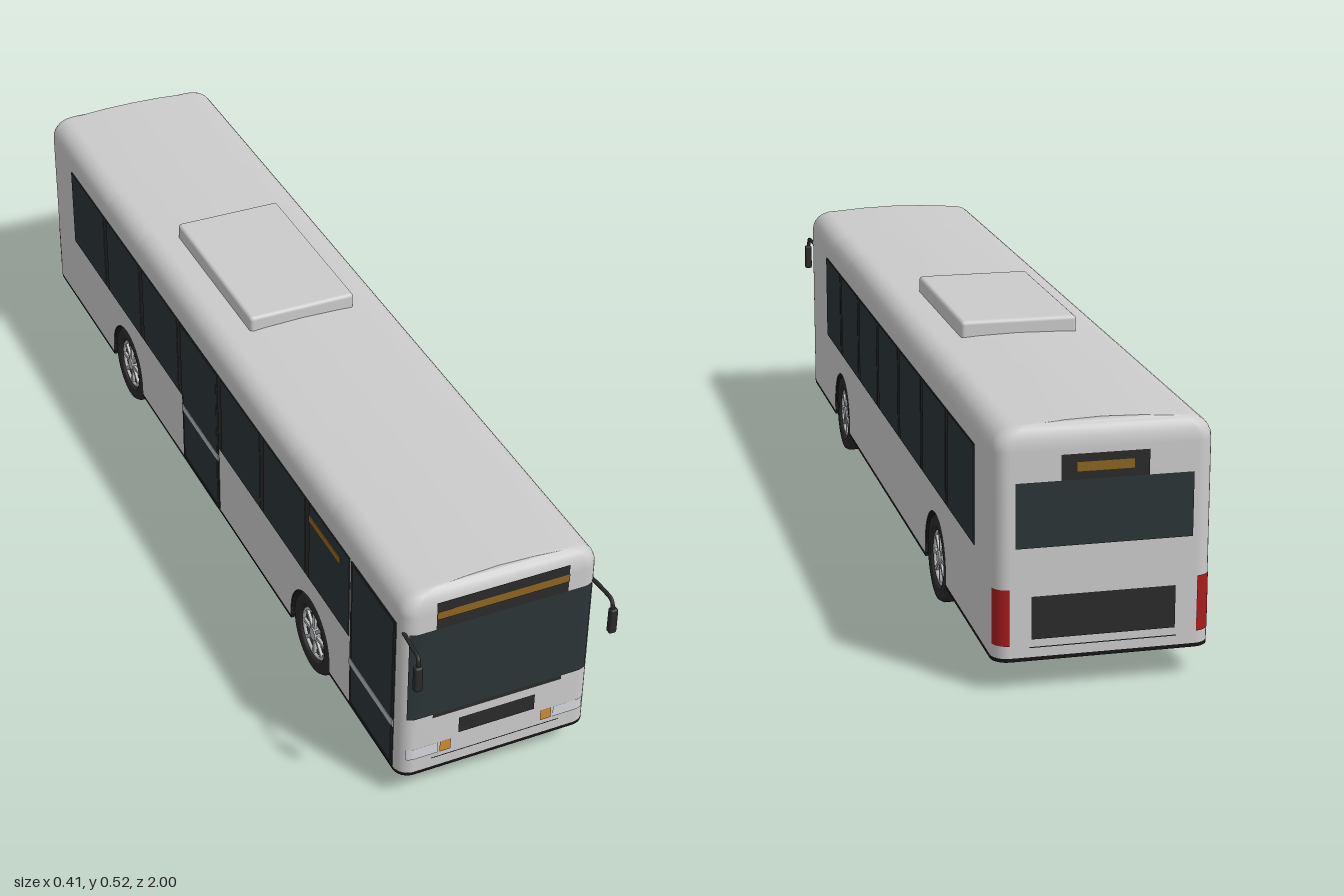
import * as THREE from 'three';
import { RoundedBoxGeometry } from 'three/addons/geometries/RoundedBoxGeometry.js';

const mat = (color) => new THREE.MeshStandardMaterial({ color, side: THREE.DoubleSide });
const GREY = new THREE.MeshStandardMaterial({ color: 0xcccccc });
const METAL = mat(0xb4b6b8), BLACK = mat(0x161616), TRIM = mat(0x2a2a2a), GLASS = mat(0x2b3437);
const AMBER = mat(0xd08c30), SIGN = mat(0x8c6520), RED = mat(0xa81c1c), LAMP = mat(0xd4d7db);

const HALF = 0.2, FRONT = 0.935, BACK = -1, CORNER = 0.03, BOTTOM = 0.066;
const ARCH_R = 0.093, WHEEL_R = 0.087, AXLES = [0.522, -0.512];

function add(parent, name, geometry, material, x = 0, y = 0, z = 0) {
  const mesh = new THREE.Mesh(geometry, material);
  mesh.name = name;
  mesh.position.set(x, y, z);
  parent.add(mesh);
  return mesh;
}

// Lower edge of a body side from front to back, rising over the wheel arches
function sideEdge() {
  const pts = [];
  for (const zc of AXLES) {
    pts.push([zc + ARCH_R, BOTTOM]);
    for (let i = 0; i <= 20; i++) {
      const a = (i / 20) * Math.PI;
      pts.push([zc + ARCH_R * Math.cos(a), WHEEL_R + ARCH_R * Math.sin(a)]);
    }
    pts.push([zc - ARCH_R, BOTTOM]);
  }
  return pts;
}

// Plan outline with rounded corners; each point is [x, z, lower edge y]
function outline(hw, endInset) {
  const pts = [], edge = sideEdge(), rx = hw * 0.15, rz = CORNER - endInset;
  const corner = (sx, sz, from, to) => {
    const zc = sz > 0 ? FRONT - CORNER : BACK + CORNER;
    for (let i = 0; i <= 6; i++) {
      const a = (from + ((to - from) * i) / 6) * (Math.PI / 2);
      pts.push([sx * (hw - rx + rx * Math.cos(a)), zc + sz * rz * Math.sin(a), BOTTOM]);
    }
  };
  corner(1, 1, 1, 0);
  edge.forEach(([z, y]) => pts.push([hw, z, y]));
  corner(1, -1, 0, 1);
  corner(-1, -1, 1, 0);
  edge.slice().reverse().forEach(([z, y]) => pts.push([-hw, z, y]));
  corner(-1, 1, 0, 1);
  return pts;
}

// Body shell lofted upward from the skirt to the crowned roof
function shellGeometry() {
  const levels = [[HALF, 0, null], [HALF, 0, 0.2], [HALF, 0, 0.445]];
  for (let i = 1; i <= 6; i++) {
    const a = (i / 6) * (Math.PI / 2), k = 1 - Math.cos(a);
    levels.push([HALF - 0.045 * k, 0.02 * k, 0.445 + 0.043 * Math.sin(a)]);
  }
  levels.push([0.08, 0.021, 0.493], [0, 0.022, 0.495]);
  const pos = [], index = [];
  const n = outline(HALF, 0).length;
  levels.forEach(([hw, inset, y], r) => {
    outline(hw, inset).forEach((p, i) => {
      pos.push(p[0], y ?? p[2], p[1]);
      if (r === 0) return;
      const j = (i + 1) % n, a = (r - 1) * n + i, b = (r - 1) * n + j, c = r * n + i, d = r * n + j;
      index.push(a, b, c, b, d, c);
    });
  });
  const g = new THREE.BufferGeometry();
  g.setAttribute('position', new THREE.Float32BufferAttribute(pos, 3));
  g.setIndex(index);
  g.computeVertexNormals();
  return g;
}

// Thin panel that follows the rounded front (dir 1) or rear (dir -1)
function endPanel(parent, name, dir, x0, x1, y0, y1, material, lift = 0.002) {
  const g = new THREE.PlaneGeometry(x1 - x0, y1 - y0, 28, 1);
  g.translate((x0 + x1) / 2, (y0 + y1) / 2, 0);
  const p = g.attributes.position, end = dir > 0 ? FRONT : -BACK;
  for (let i = 0; i < p.count; i++) {
    const d = Math.min(CORNER, Math.max(0, Math.abs(p.getX(i)) - (HALF - CORNER)));
    p.setZ(i, end - CORNER + Math.sqrt(CORNER * CORNER - d * d) + lift);
  }
  if (dir < 0) g.rotateY(Math.PI);
  g.computeVertexNormals();
  add(parent, name, g, material);
}

// Flat panel on a body side
function sidePanel(parent, name, s, z0, z1, y0, y1, material, lift = 0.001) {
  add(parent, name, new THREE.BoxGeometry(0.004, y1 - y0, z1 - z0), material,
    s * (HALF - 0.002 + lift), (y0 + y1) / 2, (z0 + z1) / 2);
}

// Tyre, rim and spokes; the outer face is at x = 0 facing +x
function makeWheel() {
  const wheel = new THREE.Group();
  wheel.name = 'wheel';
  const profile = [[0, -0.09], [0.08, -0.09], [0.087, -0.082], [0.087, -0.05], [0.084, -0.048], [0.084, -0.044],
    [0.087, -0.042], [0.087, -0.008], [0.082, 0], [0.062, 0], [0.058, -0.006], [0.056, -0.022], [0, -0.022]];
  add(wheel, 'tyre', new THREE.LatheGeometry(profile.map(([r, y]) => new THREE.Vector2(r, y)), 36).rotateZ(-Math.PI / 2), TRIM);
  addRim(wheel, 0.055, -0.008);
  return wheel;
}

function addRim(parent, r, x) {
  add(parent, 'rim', new THREE.TorusGeometry(r - 0.003, 0.004, 8, 32).rotateY(Math.PI / 2), METAL, x);
  add(parent, 'hub', new THREE.CylinderGeometry(r * 0.25, r * 0.3, 0.012, 16).rotateZ(-Math.PI / 2), METAL, x);
  for (let i = 0; i < 8; i++) {
    const spoke = new THREE.BoxGeometry(0.006, r * 0.8, r * 0.14).translate(0, r * 0.55, 0);
    add(parent, 'spoke', spoke, METAL, x).rotation.x = (i * Math.PI) / 4;
  }
}

export function createModel() {
  const bus = new THREE.Group();
  bus.name = 'cityBus';
  add(bus, 'bodyShell', shellGeometry(), GREY);
  add(bus, 'roofUnit', new RoundedBoxGeometry(0.234, 0.04, 0.41, 3, 0.008), GREY, 0, 0.503, -0.173);

  // Floor plate notched for the wheel wells
  const plan = outline(HALF, 0).map(([x, z, y]) => new THREE.Vector2(y > BOTTOM ? Math.sign(x) * 0.1 : x, z));
  const floor = new THREE.ExtrudeGeometry(new THREE.Shape(plan), { depth: 0.007, bevelEnabled: false });
  add(bus, 'floor', floor.rotateX(Math.PI / 2), BLACK, 0, BOTTOM, 0);

  // Front end
  endPanel(bus, 'destinationPanel', 1, -0.135, 0.135, 0.19, 0.468, TRIM, 0.001);
  endPanel(bus, 'destinationSign', 1, -0.135, 0.135, 0.43, 0.448, SIGN, 0.003);
  endPanel(bus, 'windshield', 1, -0.187, 0.187, 0.2, 0.407, GLASS);
  endPanel(bus, 'frontGrille', 1, -0.08, 0.08, 0.135, 0.172, TRIM);
  endPanel(bus, 'bumperSeam', 1, -0.135, 0.135, 0.089, 0.091, TRIM);

  // Rear end
  endPanel(bus, 'rearSignPanel', -1, -0.08, 0.08, 0.39, 0.437, TRIM);
  endPanel(bus, 'rearSign', -1, -0.052, 0.052, 0.405, 0.422, SIGN, 0.003);
  endPanel(bus, 'rearWindow', -1, -0.162, 0.162, 0.27, 0.39, GLASS);
  endPanel(bus, 'engineGrille', -1, -0.132, 0.132, 0.1, 0.18, TRIM);
  endPanel(bus, 'rearSeam', -1, -0.135, 0.135, 0.084, 0.086, TRIM);

  for (const s of [1, -1]) {
    // Lamps
    const pair = (name, dir, a, b, y0, y1, m) => endPanel(bus, name, dir, s > 0 ? a : -b, s > 0 ? b : -a, y0, y1, m);
    pair('headlight', 1, 0.122, 0.187, 0.1, 0.125, LAMP);
    pair('turnSignal', 1, 0.095, 0.118, 0.1, 0.125, AMBER);
    pair('tailLight', -1, 0.172, 0.199, 0.09, 0.195, RED);

    // Side window band with panes between dark pillars
    sidePanel(bus, 'windowBand', s, -0.85, 0.705, 0.23, 0.42, TRIM);
    const pillars = [0.715, 0.51, 0.285, 0.06, -0.168, -0.397, -0.625, -0.86];
    for (let i = 0; i < 7; i++) {
      sidePanel(bus, 'sideWindow', s, pillars[i + 1] + 0.01, pillars[i] - 0.01, 0.232, 0.418, GLASS, 0.002);
    }

    // Mirror on a forward arm
    const path = new THREE.CatmullRomCurve3([[0.193, 0.406, 0.92], [0.196, 0.406, 0.96], [0.197, 0.403, 0.988], [0.198, 0.38, 0.993]]
      .map(([x, y, z]) => new THREE.Vector3(s * x, y, z)));
    add(bus, 'mirrorArm', new THREE.TubeGeometry(path, 16, 0.004, 8), TRIM);
    add(bus, 'mirror', new RoundedBoxGeometry(0.016, 0.056, 0.014, 2, 0.004), TRIM, s * 0.199, 0.359, 0.993);

    // Wheels and their wells
    for (const z of AXLES) {
      const wheel = makeWheel();
      wheel.position.set(s * 0.197, WHEEL_R, z);
      if (s < 0) wheel.rotation.y = Math.PI;
      bus.add(wheel);
      const liner = new THREE.CylinderGeometry(ARCH_R, ARCH_R, 0.1, 24, 1, true, Math.PI, Math.PI);
      add(bus, 'wheelWell', liner.rotateZ(-Math.PI / 2), BLACK, s * 0.149, WHEEL_R, z);
      add(bus, 'wheelWellWall', new THREE.CircleGeometry(ARCH_R, 24, 0, Math.PI).rotateY(Math.PI / 2), BLACK, s * 0.1, WHEEL_R, z);
    }

    // Underfloor tube with spoked discs
    add(bus, 'underfloorTube', new THREE.CylinderGeometry(0.018, 0.018, 0.56, 16).rotateX(Math.PI / 2), METAL, s * 0.11, 0.055, 0);
    for (const z of [0.21, -0.205]) {
      const disc = new THREE.Group();
      disc.name = 'underfloorDisc';
      add(disc, 'discBack', new THREE.CylinderGeometry(0.046, 0.046, 0.012, 24).rotateZ(Math.PI / 2), TRIM, -0.012);
      addRim(disc, 0.046, -0.004);
      disc.position.set(s * 0.133, 0.056, z);
      if (s < 0) disc.rotation.y = Math.PI;
      bus.add(disc);
    }
  }

  // Doors on the right side
  for (const [z0, z1, split] of [[0.712, 0.905, 0.172], [-0.158, 0.05, 0.2]]) {
    sidePanel(bus, 'doorFrame', -1, z0, z1, 0.068, 0.42, TRIM, 0.0015);
    sidePanel(bus, 'doorUpperGlass', -1, z0 + 0.008, z1 - 0.008, split + 0.012, 0.415, GLASS, 0.0025);
    sidePanel(bus, 'doorLowerGlass', -1, z0 + 0.008, z1 - 0.008, 0.075, split - 0.006, GLASS, 0.0025);
    sidePanel(bus, 'doorRail', -1, z0, z1, split - 0.005, split + 0.011, METAL, 0.003);
  }
  sidePanel(bus, 'sideSign', -1, 0.52, 0.665, 0.375, 0.392, SIGN, 0.003);

  // Underfloor pan with a curved belly and tapered ends
  const pan = new THREE.BoxGeometry(0.26, 0.026, 0.7, 12, 1, 2);
  const p = pan.attributes.position;
  for (let i = 0; i < p.count; i++) {
    if (p.getY(i) > 0) continue;
    p.setY(i, p.getY(i) + 0.016 * (p.getX(i) / 0.13) ** 2);
    p.setZ(i, p.getZ(i) * 0.9);
  }
  pan.computeVertexNormals();
  add(bus, 'underfloorPan', pan, BLACK, 0, 0.048, 0);
  return bus;
}
